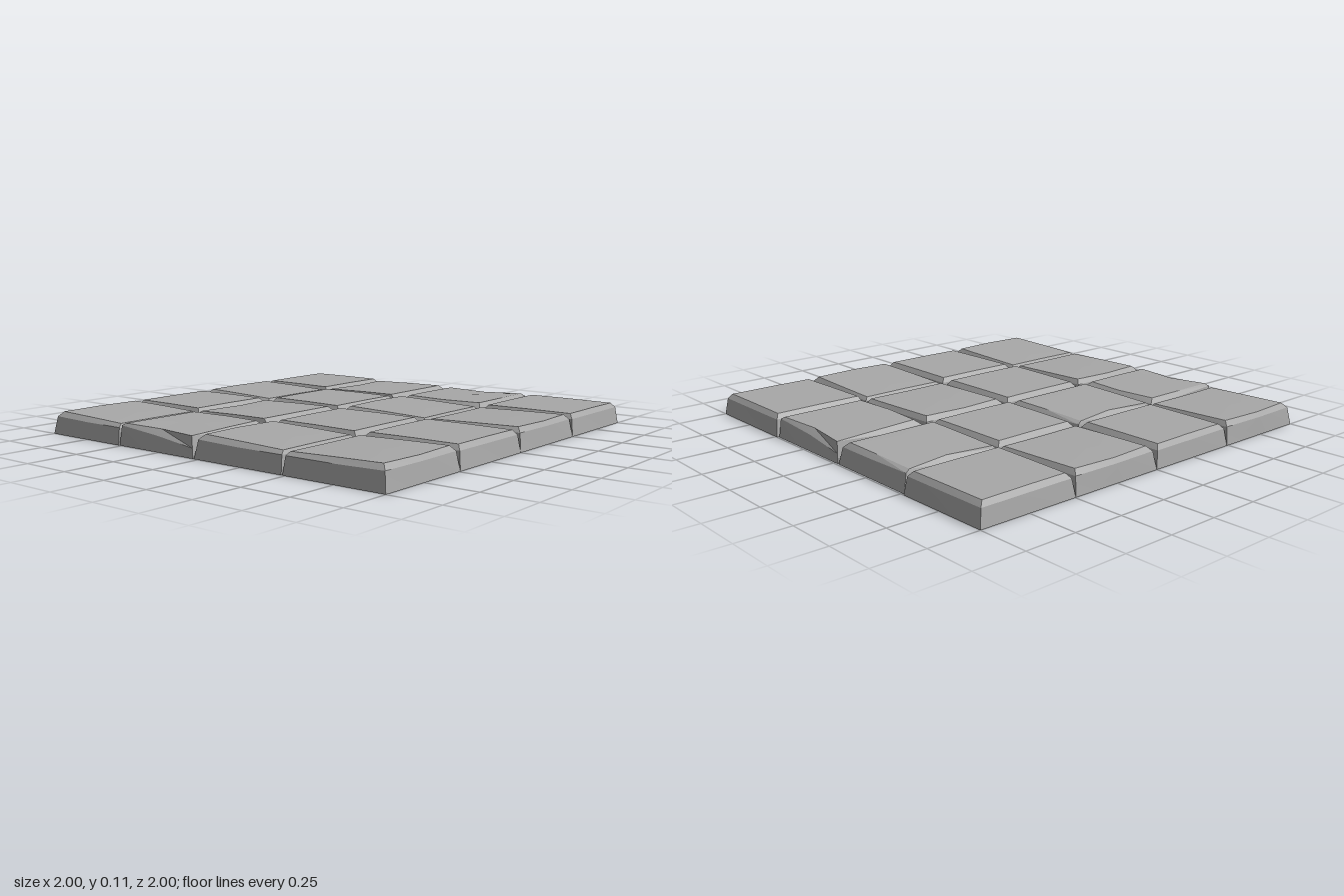
import * as THREE from 'three';
import { toCreasedNormals } from 'three/addons/utils/BufferGeometryUtils.js';

// Outline order, clockwise from above: corner, mid-edge, corner, ...
const SIDES = [[-1, -1], [0, -1], [1, -1], [1, 0], [1, 1], [0, 1], [-1, 1], [-1, 0]];

// Each slab style lists, per outline point: inset x, inset z, top height, bevel height (hundredths)
const STYLES = {
  worn: [[3.7, 3.7, 10.8, 8.5], [0, 2.3, 10.8, 8.5], [2.8, 3.7, 10.8, 8.5], [2.4, 0, 10.3, 8],
    [2.4, 1.6, 9.6, 8], [0, 2, 9.6, 7.5], [3.2, 1.6, 9.6, 8], [3.4, 0, 10.3, 8]],
  plain: [[3.2, 3.2, 10.5, 8.2], [0, 3, 10.6, 8.2], [3.2, 2.8, 10.5, 8.2], [3, 0, 10.6, 8.2],
    [3, 3.2, 10.5, 8.2], [0, 3.2, 10.6, 8.2], [2.2, 3.2, 10.5, 8.2], [2.8, 0, 10.6, 8.2]],
  notched: [[2.1, 1.1, 9.8, 8.6], [0, 4.3, 10, 7], [3.7, 1.1, 9.8, 8.6], [3.4, 0, 10.4, 8.2],
    [3.2, 4.8, 10.6, 8.2], [0, 4.9, 10.6, 8.2], [1.6, 4.8, 10.6, 8.2], [2, 0, 10.4, 8.2]],
  chipped: [[4.8, 3.7, 10.5, 8.2], [0, 2.6, 10.3, 8], [1.1, 1.6, 9.8, 4.5], [4.3, 0, 9.8, 7],
    [1.6, 3.2, 10.5, 9.4], [0, 3.2, 10.5, 8.2], [4.8, 3.2, 10.5, 8.2], [3.2, 0, 10.4, 8.2]],
};

// Bottomless slab: upright wall, bevel and gently uneven top
function slabGeometry(x0, x1, z0, z1, style, reorder) {
  const cx = (x0 + x1) / 2, cz = (z0 + z1) / 2;
  const hx = (x1 - x0) / 2, hz = (z1 - z0) / 2;
  const points = SIDES.map(([sx, sz], i) => {
    const [dx, dz, top, rim] = STYLES[style][reorder(i)].map(v => v / 100);
    const at = (k, y) => [cx + sx * (hx - dx * k), y, cz + sz * (hz - dz * k)];
    return [at(0, 0), at(0.4, rim), at(1, top)];
  });
  const centre = [cx, 0.106, cz];
  const positions = [];
  const tri = (...corners) => corners.forEach(c => positions.push(...c));
  points.forEach((p, i) => {
    const q = points[(i + 1) % 8];
    for (let k = 0; k < 2; k++) {
      tri(p[k], p[k + 1], q[k + 1]);
      tri(p[k], q[k + 1], q[k]);
    }
    tri(centre, q[2], p[2]);
  });
  const geometry = new THREE.BufferGeometry();
  geometry.setAttribute('position', new THREE.Float32BufferAttribute(positions, 3));
  return toCreasedNormals(geometry, 0.3);
}

export function createModel() {
  const model = new THREE.Group();
  model.name = 'pavingSlabs';
  const stone = new THREE.MeshStandardMaterial({ color: 0xa8a8a8, side: THREE.DoubleSide });
  stone.name = 'grey stone';

  const keep = i => i;
  const flipZ = i => (14 - i) % 8;
  const halfTurn = i => (i + 4) % 8;

  // Rows from back to front, with slightly staggered joints
  const rows = [
    { z: [-1, -0.519], x: [-1, -0.492, 0, 0.496, 1], styles: ['worn', 'plain', 'worn', 'plain'] },
    { z: [-0.513, -0.03], x: [-0.998, -0.515, 0, 0.487, 0.992], styles: ['chipped', 'notched', 'plain', 'notched'] },
    { z: [-0.024, 0.479], x: [-0.998, -0.508, 0, 0.5, 0.992], styles: ['worn', 'plain', 'worn', 'chipped'] },
    { z: [0.487, 1], x: [-1, -0.492, 0, 0.496, 1], styles: ['worn', 'plain', 'worn', 'plain'] },
  ];
  rows.forEach(({ z, x, styles }, r) => styles.forEach((style, c) => {
    const reorder = r === 3 ? flipZ : r === 1 && style === 'chipped' ? halfTurn : keep;
    const slab = new THREE.Mesh(slabGeometry(x[c], x[c + 1], z[0], z[1], style, reorder), stone);
    slab.name = `${style}Slab_row${r + 1}_column${c + 1}`;
    model.add(slab);
  }));
  return model;
}
